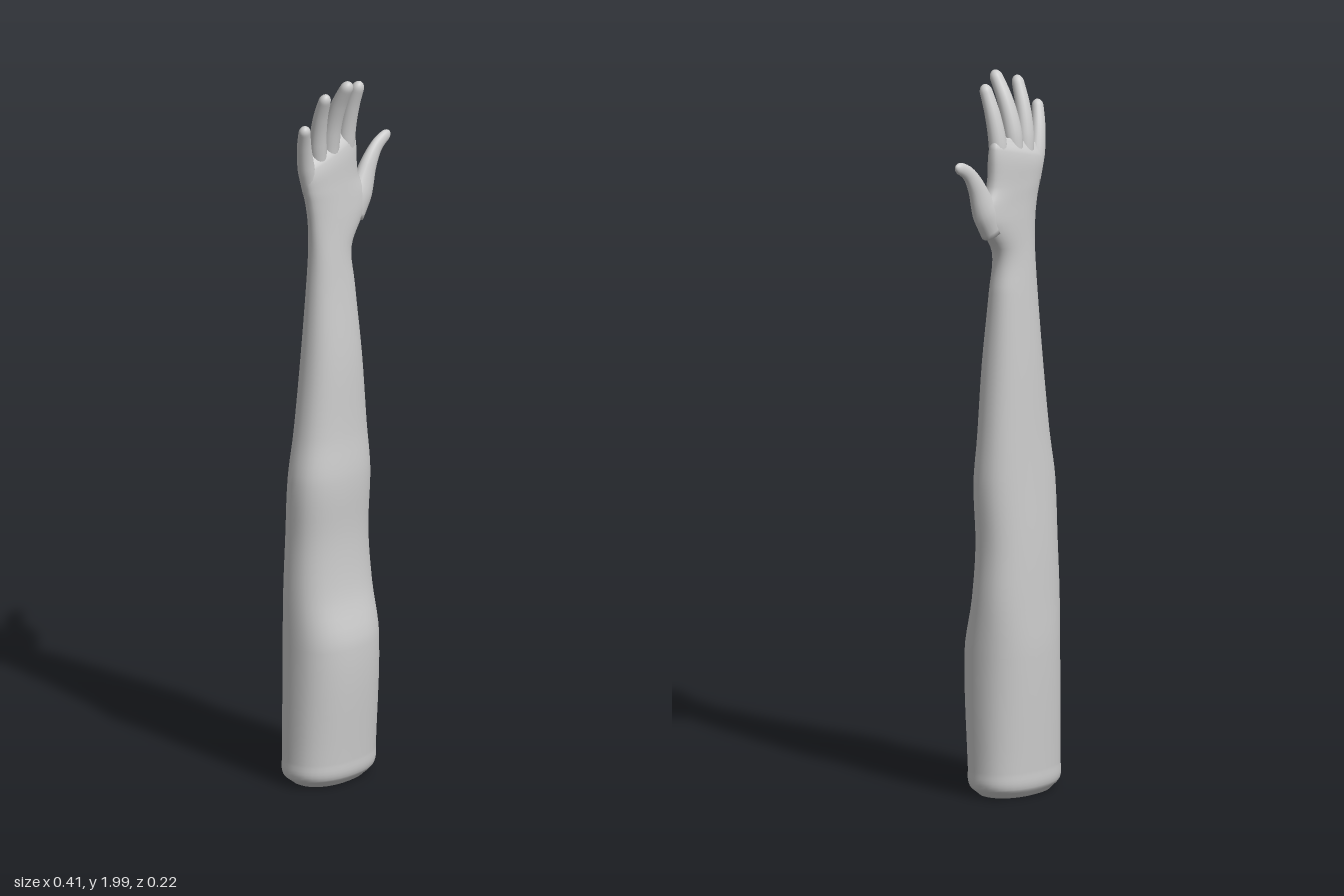
import * as THREE from 'three';

const { lerp, smoothstep } = THREE.MathUtils;
const SIDES = 36;
const material = new THREE.MeshStandardMaterial({ color: 0xcccccc });

// Skin a stack of closed rings and close both ends with a fan
function loft(name, rings) {
  const n = rings[0].length, points = rings.flat(), index = [];
  for (let i = 0; i < rings.length - 1; i++) {
    for (let j = 0; j < n; j++) {
      const a = i * n + j, b = i * n + (j + 1) % n;
      index.push(a, a + n, b, b, a + n, b + n);
    }
  }
  const last = (rings.length - 1) * n;
  const centre = ring => ring.reduce((s, p) => s.add(p), new THREE.Vector3()).divideScalar(n);
  const bottom = points.push(centre(rings[0])) - 1;
  const top = points.push(centre(rings[rings.length - 1])) - 1;
  for (let j = 0; j < n; j++) {
    const k = (j + 1) % n;
    index.push(bottom, j, k, top, last + k, last + j);
  }
  const geometry = new THREE.BufferGeometry().setFromPoints(points);
  geometry.setIndex(index);
  geometry.computeVertexNormals();
  const mesh = new THREE.Mesh(geometry, material);
  mesh.name = name;
  return mesh;
}

// Smooth interpolation between rows of section numbers
function smoothRows(rows, steps) {
  const out = [];
  for (let i = 0; i < rows.length - 1; i++) {
    const p = rows[Math.max(i - 1, 0)], a = rows[i], b = rows[i + 1];
    const q = rows[Math.min(i + 2, rows.length - 1)];
    const dy = b[0] - a[0];
    for (let s = 0; s < steps; s++) {
      const t = s / steps, h = t * t * (3 - 2 * t);
      const u = t * (1 - t) * (1 - t), v = t * t * (t - 1);
      out.push(a.map((value, k) => {
        if (k === 0) return value + dy * t;
        const m0 = (b[k] - p[k]) / (b[0] - p[0]) * dy;
        const m1 = (q[k] - value) / (q[0] - a[0]) * dy;
        return value + (b[k] - value) * h + m0 * u + m1 * v;
      }));
    }
  }
  out.push(rows[rows.length - 1]);
  return out;
}

const power = (v, e) => Math.sign(v) * Math.abs(v) ** e;

// One section: squarer at the palm, with the knuckle line sloping up to the index side
function section([y, x0, x1, z0, z1]) {
  const e = 0.9 - 0.15 * smoothstep(y, 1.5, 1.76);
  const slope = 0.28 * smoothstep(y, 1.66, 1.8);
  return Array.from({ length: SIDES }, (_, j) => {
    const a = j / SIDES * Math.PI * 2;
    const dx = (x1 - x0) / 2 * power(Math.cos(a), e);
    const dz = (z1 - z0) / 2 * power(Math.sin(a), e);
    return new THREE.Vector3((x0 + x1) / 2 + dx, y + slope * dx, (z0 + z1) / 2 + dz);
  });
}

// Tapered digit along a curve; radii run from root to tip
function digit(name, path, radii, depth) {
  const curve = new THREE.CatmullRomCurve3(path);
  const rings = [], steps = 28, n = 18;
  for (let i = 0; i <= steps; i++) {
    const t = Math.sin(i / steps * Math.PI / 2);
    const f = t * (radii.length - 1), k = Math.min(Math.floor(f), radii.length - 2);
    const end = Math.max(0, (t - 0.92) / 0.08);
    const r = lerp(radii[k], radii[k + 1], f - k) * Math.sqrt(Math.max(0.003, 1 - end * end));
    const c = curve.getPointAt(t), tangent = curve.getTangentAt(t);
    const side = tangent.clone().cross(new THREE.Vector3(0, 0, 1)).normalize();
    const front = side.clone().cross(tangent);
    rings.push(Array.from({ length: n }, (_, j) => {
      const a = j / n * Math.PI * 2;
      return c.clone().addScaledVector(side, r * Math.cos(a))
        .addScaledVector(front, r * depth * Math.sin(a));
    }));
  }
  return loft(name, rings);
}

// Finger rising from the palm and curling forward towards its tip
function finger(name, x0, y0, x1, y1, z1, r) {
  const path = [0, 0.4, 0.7, 1].map(t =>
    new THREE.Vector3(lerp(x0, x1, t), lerp(y0, y1, t), lerp(-0.022, z1, t ** 2.2)));
  return digit(name, path, [r * 0.95, r, r * 0.84, r * 0.64], 0.9);
}

export function createModel() {
  const model = new THREE.Group();
  model.name = 'arm';

  // Upper arm, elbow, forearm, wrist and palm: height, x range, z range
  const rows = [
    [0.008, -0.17, 0.06, -0.08, 0.07],
    [0.035, -0.202, 0.088, -0.1, 0.095],
    [0.08, -0.203, 0.09, -0.102, 0.099],
    [0.4, -0.195, 0.092, -0.11, 0.112],
    [0.55, -0.19, 0.09, -0.106, 0.082],
    [0.7, -0.183, 0.083, -0.101, 0.071],
    [0.87, -0.183, 0.086, -0.092, 0.075],
    [1, -0.16, 0.077, -0.085, 0.064],
    [1.2, -0.135, 0.06, -0.076, 0.055],
    [1.4, -0.116, 0.043, -0.064, 0.036],
    [1.51, -0.11, 0.036, -0.057, 0.027],
    [1.6, -0.115, 0.098, -0.055, 0.022],
    [1.65, -0.123, 0.098, -0.053, 0.018],
    [1.7, -0.134, 0.07, -0.052, 0.014],
    [1.78, -0.144, 0.064, -0.048, 0.007],
    [1.818, -0.12, 0.045, -0.028, -0.015],
  ];
  model.add(loft('armAndPalm', smoothRows(rows, 5).map(section)));

  // Four fingers: root x, y, tip x, y, z and radius
  model.add(
    finger('littleFinger', -0.108, 1.69, -0.174, 1.9, 0.014, 0.025),
    finger('ringFinger', -0.075, 1.73, -0.104, 1.977, 0.03, 0.026),
    finger('middleFinger', -0.034, 1.74, -0.034, 2, 0.052, 0.028),
    finger('indexFinger', 0.028, 1.72, 0.038, 1.977, 0.027, 0.027),
  );

  // Thumb, spreading out sideways from the heel of the hand
  const thumbPath = [[0.05, 1.58], [0.088, 1.645], [0.122, 1.715], [0.155, 1.757], [0.202, 1.783]]
    .map(([x, y]) => new THREE.Vector3(x, y, -0.018 + 0.04 * x));
  model.add(digit('thumb', thumbPath, [0.042, 0.042, 0.03, 0.021, 0.015], 0.72));

  return model;
}
